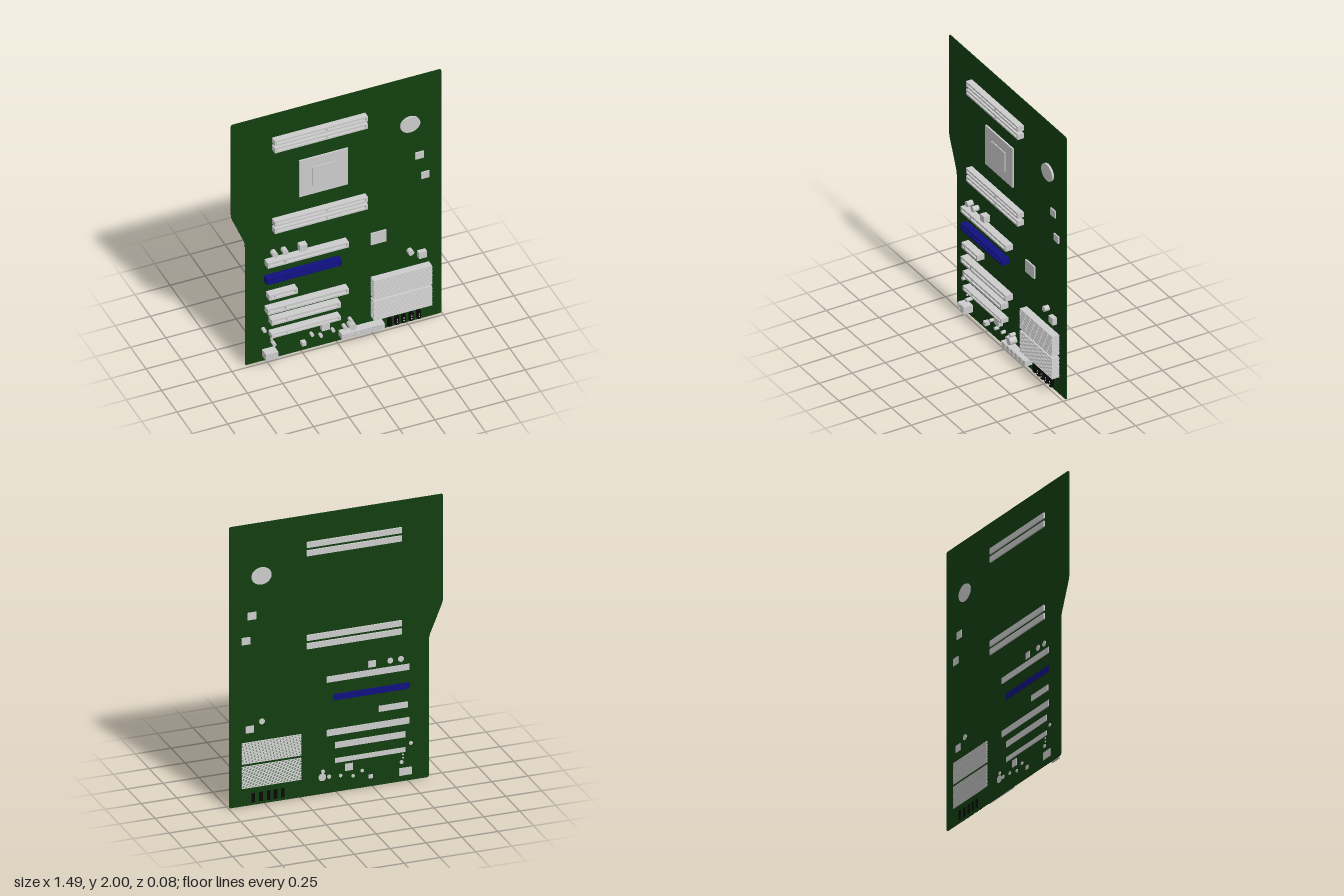
import * as THREE from 'three';

const grey = new THREE.MeshStandardMaterial({ color: 0xcccccc });
const green = new THREE.MeshStandardMaterial({ color: 0x133f11 });
const blue = new THREE.MeshStandardMaterial({ color: 0x101080 });
const black = new THREE.MeshStandardMaterial({ color: 0x080808 });

function add(parent, name, geometry, material = grey) {
  const mesh = new THREE.Mesh(geometry, material);
  mesh.name = name;
  parent.add(mesh);
  return mesh;
}

// Box given by its limits on each axis
function box(parent, name, x0, x1, y0, y1, z0, z1, material) {
  const mesh = add(parent, name, new THREE.BoxGeometry(x1 - x0, y1 - y0, z1 - z0), material);
  mesh.position.set((x0 + x1) / 2, (y0 + y1) / 2, (z0 + z1) / 2);
  return mesh;
}

// Round component standing on the board, axis along z
function can(parent, name, x, y, r, z0, z1, sides = 20) {
  const g = new THREE.CylinderGeometry(r, r, z1 - z0, sides).rotateX(Math.PI / 2);
  const mesh = add(parent, name, g);
  mesh.position.set(x, y, (z0 + z1) / 2);
  return mesh;
}

function rect(path, x0, x1, y0, y1) {
  path.moveTo(x0, y0);
  path.lineTo(x1, y0);
  path.lineTo(x1, y1);
  path.lineTo(x0, y1);
  path.closePath();
  return path;
}

// Block with rectangular pockets open to the front
function pocketBlock(parent, name, [x0, x1, y0, y1], z0, zFloor, z1, pockets, material) {
  const group = new THREE.Group();
  group.name = name;
  parent.add(group);
  box(group, 'base', x0, x1, y0, y1, z0, zFloor, material);
  const shape = rect(new THREE.Shape(), x0, x1, y0, y1);
  for (const p of pockets) shape.holes.push(rect(new THREE.Path(), ...p));
  const g = new THREE.ExtrudeGeometry(shape, { depth: z1 - zFloor, bevelEnabled: false });
  g.translate(0, 0, zFloor);
  add(group, 'walls', g, material);
  return group;
}

// Edge connector: two long pockets either side of a key
function slot(parent, name, [x0, x1, y0, y1, key], z0, z1, material) {
  const m = (y1 - y0) * 0.3;
  pocketBlock(parent, name, [x0, x1, y0, y1], z0, z1 - 0.018, z1, [
    [x0 + 0.016, key - 0.005, y0 + m, y1 - m],
    [key + 0.005, x1 - 0.016, y0 + m, y1 - m],
  ], material);
}

// Header with a grid of pin holes
function socket(parent, name, [x0, x1, y0, y1], z0, z1, cols, rows) {
  const dx = (x1 - x0) / cols, dy = (y1 - y0) / rows, holes = [];
  for (let i = 0; i < cols; i++) {
    for (let j = 0; j < rows; j++) {
      const cx = x0 + (i + 0.5) * dx, cy = y0 + (j + 0.5) * dy;
      holes.push([cx - dx * 0.25, cx + dx * 0.25, cy - dy * 0.25, cy + dy * 0.25]);
    }
  }
  pocketBlock(parent, name, [x0, x1, y0, y1], z0, z1 - 0.015, z1, holes);
}

// Polygon outline with rounded corners
function roundedOutline(points) {
  const shape = new THREE.Shape();
  const n = points.length;
  points.forEach(([x, y, r], i) => {
    const p = new THREE.Vector2(x, y);
    const toward = (q) => new THREE.Vector2(q[0], q[1]).sub(p).setLength(r).add(p);
    const a = toward(points[(i + n - 1) % n]), b = toward(points[(i + 1) % n]);
    if (i === 0) shape.moveTo(a.x, a.y);
    else shape.lineTo(a.x, a.y);
    shape.quadraticCurveTo(x, y, b.x, b.y);
  });
  shape.closePath();
  return shape;
}

export function createModel() {
  const model = new THREE.Group();
  model.name = 'circuitBoard';
  const front = -0.025;

  // Board with the stepped left edge
  const outline = roundedOutline([
    [-0.646, 0, 0.016], [0.746, 0, 0.016], [0.746, 2, 0.016],
    [-0.746, 2, 0.016], [-0.746, 1.24, 0.035], [-0.646, 1.0, 0.035],
  ]);
  const board = new THREE.ExtrudeGeometry(outline, { depth: 0.006, bevelEnabled: false, curveSegments: 6 });
  add(model, 'board', board.translate(0, 0, front - 0.006), green);

  // Memory slots
  for (const y of [1.791, 1.732, 1.129, 1.07]) {
    slot(model, 'memorySlot', [-0.455, 0.206, y - 0.02, y + 0.02, -0.083], -0.042, 0.021);
  }

  // Expansion slots
  for (const s of [
    [-0.508, 0.067, 0.787, 0.83, -0.38], [-0.497, -0.296, 0.521, 0.563, -0.455],
    [-0.508, 0.067, 0.405, 0.45, -0.38], [-0.481, 0.009, 0.311, 0.354, -0.37],
    [-0.481, 0.009, 0.207, 0.24, -0.37],
  ]) slot(model, 'expansionSlot', s, -0.036, 0.03);
  slot(model, 'graphicsSlot', [-0.513, 0.018, 0.653, 0.698, -0.36], -0.036, 0.028, blue);

  // Processor and its raised lid
  box(model, 'processor', -0.265, 0.08, 1.27, 1.566, front - 0.003, -0.013);
  box(model, 'processorLid', -0.178, -0.007, 1.345, 1.491, -0.013, -0.006);

  // Coin battery, slightly oval
  can(model, 'battery', 0.521, 1.622, 0.07, -0.036, -0.01, 40).scale.y = 0.87;

  // Chips: limits in x and y, then back and front
  for (const c of [
    [0.558, 0.619, 1.32, 1.373, -0.035, -0.015], [0.6, 0.659, 1.148, 1.2, -0.035, -0.015],
    [0.243, 0.352, 0.717, 0.81, -0.028, -0.014], [0.574, 0.63, 0.516, 0.566, -0.035, 0.008],
    [-0.275, -0.222, 0.847, 0.894, -0.035, 0.02], [-0.115, -0.06, 0.138, 0.188, -0.035, 0.01],
    [-0.255, -0.225, 0.057, 0.085, -0.035, 0.01],
  ]) box(model, 'chip', ...c);

  // Capacitors: centre, radius, front
  for (const [x, y, r, z] of [
    [-0.45, 0.873, 0.02, 0.02], [-0.376, 0.873, 0.02, 0.02], [0.518, 0.585, 0.02, 0.012],
    [-0.52, 0.264, 0.013, 0.01], [-0.465, 0.19, 0.006, 0.01], [-0.465, 0.167, 0.006, 0.01],
    [-0.455, 0.138, 0.013, 0.02], [-0.18, 0.122, 0.012, 0.005], [-0.117, 0.095, 0.012, 0.005],
    [-0.03, 0.111, 0.012, 0.005], [0.05, 0.116, 0.014, 0.015], [0.093, 0.159, 0.013, 0.015],
    [0.098, 0.119, 0.026, 0.028],
  ]) can(model, 'capacitor', x, y, r, -0.036, z);

  // Two stacks of cooling fins
  for (const [y0, y1, count, fill] of [[0.3, 0.455, 14, 0.6], [0.127, 0.287, 16, 0.5]]) {
    const stack = new THREE.Group();
    stack.name = 'heatSink';
    model.add(stack);
    const step = (y1 - y0) / count;
    for (let i = 0; i < count; i++) {
      const y = y0 + i * step;
      box(stack, 'fin', 0.245, 0.658, y, y + step * fill, -0.038, 0.03);
    }
  }

  // Pin sockets along the lower edge
  socket(model, 'cornerSocket', [-0.526, -0.439, 0.042, 0.095], -0.036, 0.042, 5, 3);
  socket(model, 'powerSocket', [0.016, 0.32, 0.045, 0.085], -0.03, 0.035, 18, 2);

  // Dark headers, four with light pins
  [0.373, 0.423, 0.471, 0.524, 0.579].forEach((x, i) => {
    box(model, 'header', x - 0.012, x + 0.012, 0.02, 0.085, -0.036, 0, black);
    if (i === 0) return;
    for (const y of [0.04, 0.06]) box(model, 'headerPin', x - 0.004, x + 0.004, y - 0.004, y + 0.004, 0, 0.003);
  });

  return model;
}
